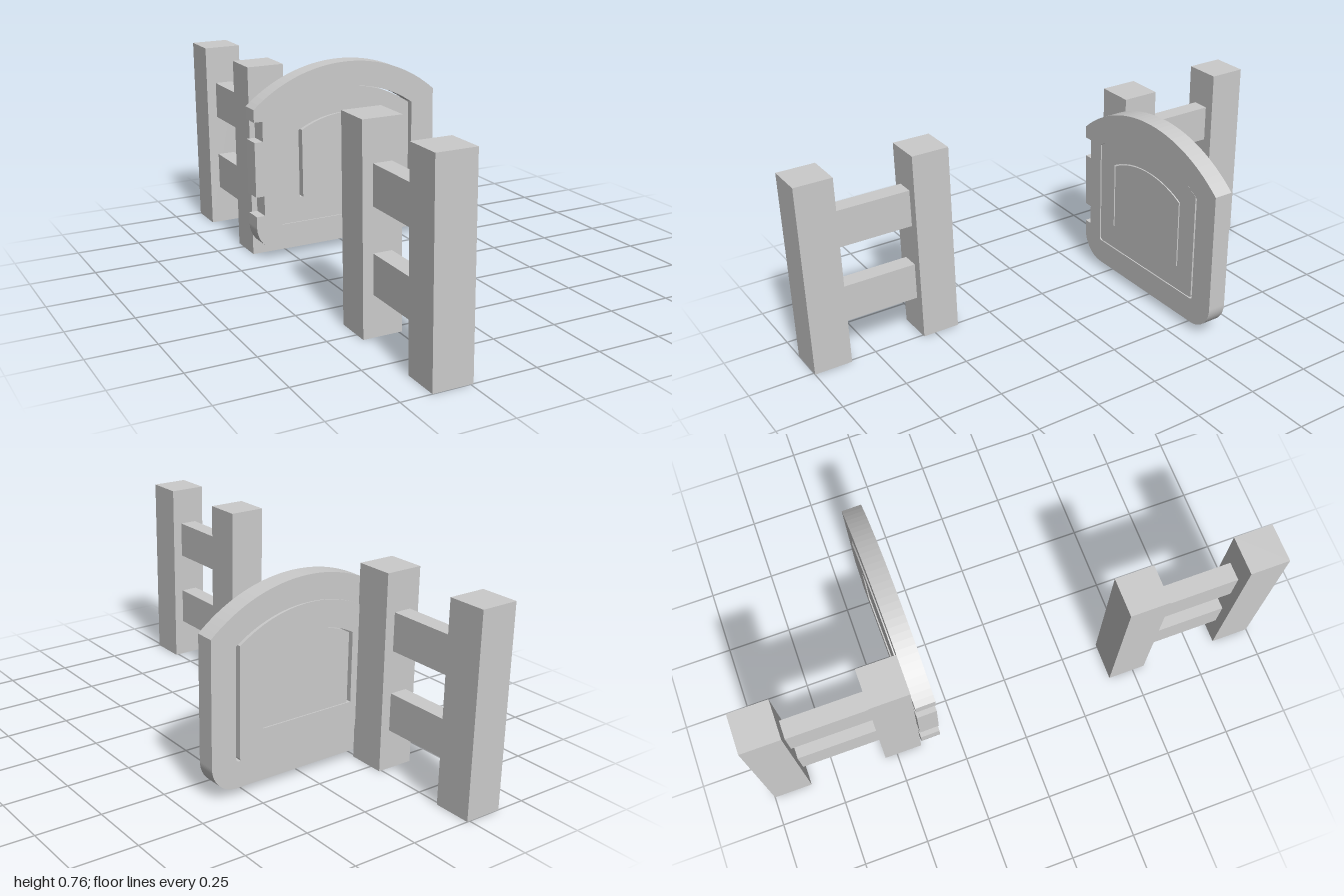
import * as THREE from 'three';

const material = new THREE.MeshStandardMaterial({ color: 0xcccccc, flatShading: true });
const ARCH_Y = 0.152; // shared centre height of all the arches

// Arched outline: half width, bottom height, corner radius, arch radius, optional hinge notches
function outline(shape, w, bottom, corner, R, notches = []) {
  const side = ARCH_Y + Math.sqrt(R * R - w * w);
  const a = Math.acos(w / R);
  shape.moveTo(-w + corner, bottom);
  shape.lineTo(w - corner, bottom);
  if (corner) shape.absarc(w - corner, bottom + corner, corner, -Math.PI / 2, 0, false);
  shape.lineTo(w, side);
  shape.absarc(0, ARCH_Y, R, a, Math.PI - a, false);
  for (const [low, high] of notches) {
    shape.lineTo(-w, high);
    shape.lineTo(-w + 0.035, high);
    shape.lineTo(-w + 0.035, low);
    shape.lineTo(-w, low);
  }
  shape.lineTo(-w, bottom + corner);
  if (corner) shape.absarc(-w + corner, bottom + corner, corner, Math.PI, Math.PI * 1.5, false);
  return shape;
}

function slab(name, shape, depth) {
  const geometry = new THREE.ExtrudeGeometry(shape, { depth, bevelEnabled: false, curveSegments: 16 });
  geometry.translate(0, 0, -depth / 2);
  const mesh = new THREE.Mesh(geometry, material);
  mesh.name = name;
  return mesh;
}

function box(name, w, h, d, y, z) {
  const mesh = new THREE.Mesh(new THREE.BoxGeometry(w, h, d), material);
  mesh.name = name;
  mesh.position.set(0, y, z);
  return mesh;
}

// Two posts joined by two rails
function createFence(name, z) {
  const fence = new THREE.Group();
  fence.name = name;
  for (const s of [-1, 1]) fence.add(box('post', 0.148, 0.76, 0.148, 0.38, s * 0.226));
  for (const y of [0.228, 0.537]) fence.add(box('rail', 0.07, 0.146, 0.304, y, 0));
  fence.position.set(-0.313, 0, z);
  return fence;
}

// Arched door made of a frame, a ring and a centre panel
function createDoor() {
  const door = new THREE.Group();
  door.name = 'door';

  const frameShape = outline(new THREE.Shape(), 0.4, 0.03, 0.105, 0.608, [[0.48, 0.56], [0.18, 0.26]]);
  frameShape.holes.push(outline(new THREE.Path(), 0.298, 0.132, 0.012, 0.508));
  door.add(slab('doorFrame', frameShape, 0.075));

  const ringShape = outline(new THREE.Shape(), 0.298, 0.132, 0.012, 0.508);
  ringShape.holes.push(outline(new THREE.Path(), 0.198, 0.233, 0, 0.406));
  const ring = slab('doorRing', ringShape, 0.075);
  ring.position.set(-0.013, 0, -0.005);
  door.add(ring);

  door.add(slab('doorPanel', outline(new THREE.Shape(), 0.198, 0.233, 0, 0.406), 0.075));

  door.position.z = -0.364;
  door.rotation.y = 0.012;
  return door;
}

export function createModel() {
  const model = new THREE.Group();
  model.name = 'gate';
  model.add(createFence('frontFence', 0.7), createFence('backFence', -0.7), createDoor());
  return model;
}
